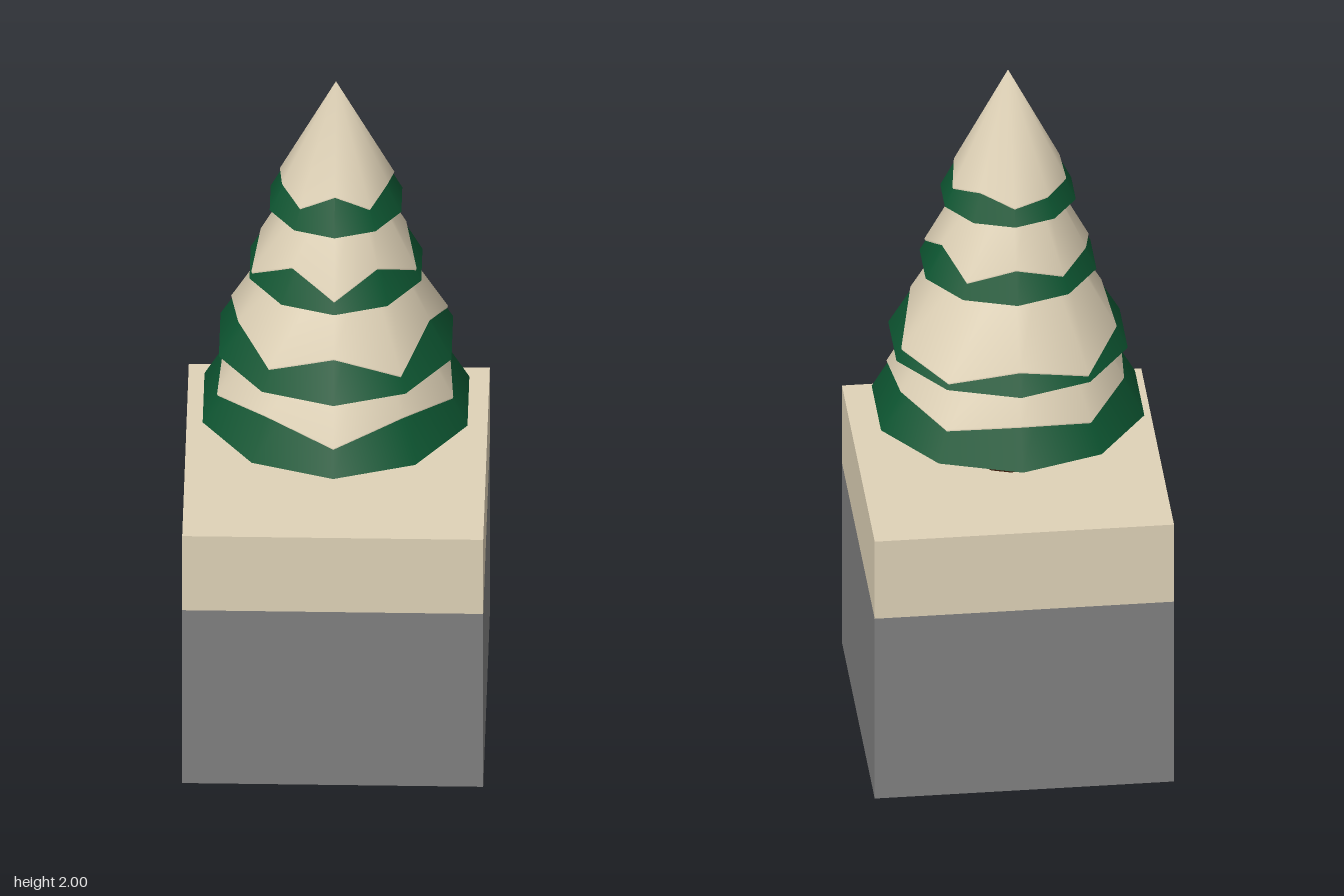
import * as THREE from 'three';
import { mergeVertices } from 'three/addons/utils/BufferGeometryUtils.js';

const SIDES = 10;

function material(name, color) {
  const m = new THREE.MeshStandardMaterial({ color });
  m.name = name;
  return m;
}

// Tapered ring stack: rows of radius/height functions around the y axis, joined smoothly
function shell(rows) {
  const g = new THREE.CylinderGeometry(1, 1, 1, SIDES, rows.length - 1, true);
  const p = g.attributes.position;
  for (let k = 0; k < p.count; k++) {
    const row = Math.floor(k / (SIDES + 1));
    const i = (k % (SIDES + 1)) % SIDES;
    const a = (i / SIDES) * Math.PI * 2;
    const [r, y] = rows[row](i);
    p.setXYZ(k, r * Math.sin(a), y, r * Math.cos(a));
  }
  g.deleteAttribute('normal');
  g.deleteAttribute('uv');
  const merged = mergeVertices(g, 1e-5);
  merged.computeVertexNormals();
  return merged;
}

// Each tier: base height, base radius, top height, top radius, snow edge radius per side
const TIERS = [
  { y: 0.97, r: 0.37, topY: 1.28, topR: 0.2,
    edge: [0.335, 0.31, 0.33, 0.315, 0.33, 0.315, 0.33, 0.315, 0.33, 0.31] },
  { y: 1.175, r: 0.325, topY: 1.5, topR: 0.14,
    edge: [0.267, 0.305, 0.265, 0.311, 0.32, 0.295, 0.32, 0.295, 0.272, 0.297] },
  { y: 1.41, r: 0.24, topY: 1.7, topR: 0.09,
    edge: [0.227, 0.195, 0.227, 0.195, 0.222, 0.2, 0.22, 0.212, 0.235, 0.195] },
  { y: 1.62, r: 0.184, topY: 1.99, topR: 0,
    edge: [0.138, 0.16, 0.147, 0.162, 0.15, 0.165, 0.16, 0.158, 0.15, 0.16] },
];

export function createModel() {
  const stone = material('stone grey', 0x808080);
  const snow = material('snow cream', 0xdfd2b7);
  const needles = material('needle green', 0x0d5531);
  const bark = material('bark brown', 0x3a1b0a);

  const model = new THREE.Group();
  model.name = 'snowyTreeOnBlock';
  const add = (name, geometry, mat, y = 0, parent = model) => {
    const mesh = new THREE.Mesh(geometry, mat);
    mesh.name = name;
    mesh.position.y = y;
    parent.add(mesh);
    return mesh;
  };

  // Block with a snowy upper layer
  add('stoneBlock', new THREE.BoxGeometry(0.8, 0.56, 0.8), stone, 0.28);
  add('snowLayer', new THREE.BoxGeometry(0.8, 0.24, 0.8), snow, 0.68);

  // Trunk
  add('trunk', new THREE.CylinderGeometry(0.09, 0.09, 0.22, SIDES), bark, 0.9);

  // Branch tiers, each with a zigzag cap of snow
  TIERS.forEach((t, n) => {
    const tier = new THREE.Group();
    tier.name = `tier${n + 1}`;
    model.add(tier);

    const h = t.topY - t.y;
    add('branches', new THREE.CylinderGeometry(t.topR, t.r, h, SIDES), needles, t.y + h / 2, tier);

    const rise = h / (t.r - t.topR);
    const lift = 0.011;
    const cap = shell([
      () => [t.topR, t.topY + lift],
      (i) => [t.edge[i], t.y + (t.r - t.edge[i]) * rise + lift],
      (i) => [t.edge[i] - 0.006, t.y + (t.r - t.edge[i]) * rise - 0.004],
    ]);
    add('snowCap', cap, snow, 0, tier);
  });

  return model;
}
